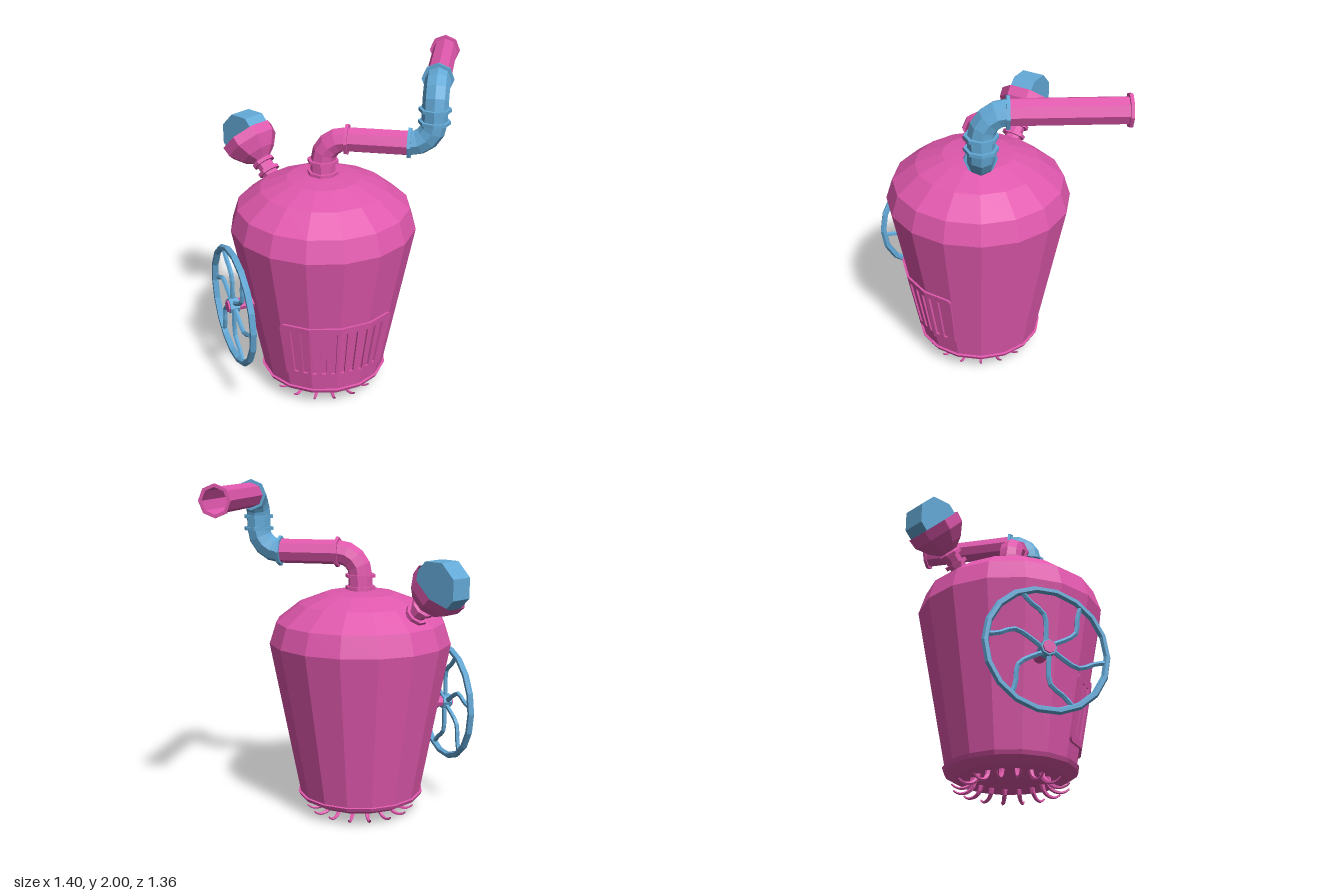
import * as THREE from 'three';

const pink = new THREE.MeshStandardMaterial({ color: 0xe058ad, flatShading: true, side: THREE.DoubleSide });
const blue = new THREE.MeshStandardMaterial({ color: 0x64aad8, flatShading: true, side: THREE.DoubleSide });
const CX = -0.012, CZ = 0.055; // vertical axis of the tank
const V = (x, y, z) => new THREE.Vector3(x, y, z);

function add(parent, name, geometry, material) {
  const mesh = new THREE.Mesh(geometry, material);
  mesh.name = name;
  parent.add(mesh);
  return mesh;
}

const lathe = (points, sides) =>
  new THREE.LatheGeometry(points.map(([r, y]) => new THREE.Vector2(r, y)), sides);

// Octagonal rod between two points
function rod(parent, name, a, b, radius, material, open = false) {
  const dir = b.clone().sub(a);
  const mesh = add(parent, name, new THREE.CylinderGeometry(radius, radius, dir.length(), 8, 1, open), material);
  mesh.position.copy(a).add(b).multiplyScalar(0.5);
  mesh.quaternion.setFromUnitVectors(V(0, 1, 0), dir.normalize());
  return mesh;
}

const wallRadius = (y) => 0.368 + (y - 0.125) * 0.175 / 0.925;

// Sixteen-sided tank
function makeTank(group) {
  const body = add(group, 'tank', lathe([
    [0, 0.075], [0.315, 0.072], [0.372, 0.103], [0.383, 0.125], [0.368, 0.127],
    [0.543, 1.05], [0.503, 1.175], [0.368, 1.28], [0.21, 1.34], [0, 1.36],
  ], 16), pink);
  body.position.set(CX, 0, CZ);
}

// Slotted panel that follows four faces of the tank
function makeVent(group) {
  const vent = new THREE.Group();
  vent.name = 'ventPanel';
  vent.position.set(CX, 0, CZ);
  const y0 = 0.22, y1 = 0.597, step = Math.PI / 8, c = 0.03;
  for (let f = 0; f < 4; f++) {
    const l = f === 0 ? 1 : 0, r = f === 3 ? 1 : 0; // rounded outer corners
    const shape = new THREE.Shape();
    shape.moveTo(0.15 * l, y0);
    shape.lineTo(1 - 0.15 * r, y0);
    if (r) shape.quadraticCurveTo(1, y0, 1, y0 + c);
    shape.lineTo(1, y1 - c * r);
    if (r) shape.quadraticCurveTo(1, y1, 0.85, y1);
    shape.lineTo(0.15 * l, y1);
    if (l) shape.quadraticCurveTo(0, y1, 0, y1 - c);
    shape.lineTo(0, y0 + c * l);
    if (l) shape.quadraticCurveTo(0, y0, 0.15, y0);
    for (let i = 0; i < 10; i++) {
      const u = 0.42 + 0.35 * i - f;
      if (u < 0 || u > 1) continue;
      const slot = new THREE.Path();
      slot.moveTo(u - 0.08, 0.255);
      slot.lineTo(u - 0.08, 0.555);
      slot.lineTo(u + 0.08, 0.555);
      slot.lineTo(u + 0.08, 0.255);
      slot.closePath();
      shape.holes.push(slot);
    }
    const geo = new THREE.ExtrudeGeometry(shape, { depth: 0.014, bevelEnabled: false, curveSegments: 4 });
    const p = geo.attributes.position;
    const a = (f - 1) * step, b = f * step;
    for (let i = 0; i < p.count; i++) {
      const u = p.getX(i), y = p.getY(i), rad = wallRadius(y) + p.getZ(i);
      p.setXYZ(i, rad * THREE.MathUtils.lerp(Math.sin(a), Math.sin(b), u), y,
        rad * THREE.MathUtils.lerp(Math.cos(a), Math.cos(b), u));
    }
    geo.computeVertexNormals();
    add(vent, 'ventFace', geo, pink);
  }
  group.add(vent);
}

// Ring of small tapered hooks under the tank
function makeFeet(group) {
  const path = new THREE.CatmullRomCurve3([
    V(0, 0.09, 0.205), V(0, 0.045, 0.215), V(0, 0.017, 0.245), V(0, 0.012, 0.295), V(0, 0.033, 0.328)]);
  const rings = 8, sides = 5;
  const geo = new THREE.TubeGeometry(path, rings, 0.017, sides);
  const p = geo.attributes.position, v = V(0, 0, 0);
  for (let i = 0; i < p.count; i++) {
    const t = Math.floor(i / (sides + 1)) / rings;
    v.fromBufferAttribute(p, i).lerp(path.getPointAt(t), 0.7 * t);
    p.setXYZ(i, v.x, Math.max(0, v.y), v.z);
  }
  geo.computeVertexNormals();
  for (let i = 0; i < 16; i++) {
    const foot = add(group, 'hookFoot', geo, pink);
    foot.position.set(CX, 0, CZ);
    foot.rotation.y = i * Math.PI / 8;
  }
}

// Outlet pipe with three elbows and flanges
function makePipe(group) {
  const pipe = new THREE.Group();
  pipe.name = 'outletPipe';
  const R = 0.132, r = 0.072, x2 = 0.608, yA = 1.575, yB = 1.91;
  const elbow = (name, mat, pos, ry, rz) => {
    const m = add(pipe, name, new THREE.TorusGeometry(R, r, 8, 4, Math.PI / 2), mat);
    m.position.copy(pos);
    m.rotation.set(0, ry, rz);
  };
  const flange = (at, axis, mat, hollow) => {
    const half = axis.clone().multiplyScalar(0.009);
    rod(pipe, 'flange', at.clone().sub(half), at.clone().add(half), 0.09, mat, hollow);
  };
  const X = V(1, 0, 0), Y = V(0, 1, 0), Z = V(0, 0, 1);
  rod(pipe, 'riser', V(CX, 1.34, CZ), V(CX, yA - R, CZ), r, pink, true);
  elbow('lowerElbow', pink, V(CX + R, yA - R, CZ), 0, Math.PI / 2);
  rod(pipe, 'crossPipe', V(CX + R, yA, CZ), V(x2 - R, yA, CZ), r, pink, true);
  elbow('middleElbow', blue, V(x2 - R, yA + R, CZ), 0, -Math.PI / 2);
  rod(pipe, 'upperRiser', V(x2, yA + R, CZ), V(x2, yB - R, CZ), r, blue, true);
  elbow('upperElbow', blue, V(x2, yB - R, CZ - R), -Math.PI / 2, 0);
  rod(pipe, 'spout', V(x2, yB, CZ - R), V(x2, yB, -0.685), r, pink, true);
  flange(V(CX, 1.37, CZ), Y, pink);
  flange(V(CX, 1.44, CZ), Y, pink);
  flange(V(CX + R + 0.005, yA, CZ), X, pink);
  flange(V(x2 - R, yA, CZ), X, blue);
  flange(V(x2, yA + R, CZ), Y, blue);
  flange(V(x2, yB - R, CZ), Y, blue);
  flange(V(x2, yB, CZ - R), Z, blue);
  // Open mouth: outer band plus a flat ring on each side
  flange(V(x2, yB, -0.681), Z, pink, true);
  for (const z of [-0.672, -0.69]) {
    const ring = add(pipe, 'mouthRing', new THREE.RingGeometry(r, 0.09, 8), pink);
    ring.position.set(x2, yB, z);
  }
  group.add(pipe);
}

// Hand wheel with six curved spokes
function makeWheel(group) {
  const wheel = new THREE.Group();
  wheel.name = 'handWheel';
  wheel.position.set(-0.49, 0.622, 0.367);
  wheel.rotation.y = Math.atan2(-0.835, 0.55);
  add(wheel, 'wheelRim', new THREE.TorusGeometry(0.345, 0.02, 6, 18), blue);
  const polar = (r, deg) => {
    const a = THREE.MathUtils.degToRad(deg);
    return V(r * Math.cos(a), r * Math.sin(a), 0);
  };
  const spoke = new THREE.TubeGeometry(new THREE.CatmullRomCurve3([
    polar(0.03, 0), polar(0.11, -18), polar(0.2, -16), polar(0.28, 0), polar(0.345, 4)]), 8, 0.014, 5);
  for (let i = 0; i < 6; i++) {
    add(wheel, 'wheelSpoke', spoke, blue).rotation.z = THREE.MathUtils.degToRad(50 + 60 * i);
  }
  rod(wheel, 'wheelHub', V(0, 0, -0.028), V(0, 0, 0.028), 0.045, blue);
  rod(wheel, 'wheelShaft', V(0, 0, -0.15), V(0, 0, 0.038), 0.036, pink);
  group.add(wheel);
}

// Octagonal disc held in a tilted cup on the shoulder
function makeGauge(group) {
  const gauge = new THREE.Group();
  gauge.name = 'gauge';
  gauge.position.set(-0.534, 1.435, -0.27);
  gauge.rotation.set(Math.PI / 4, Math.atan2(-0.84, -0.54), 0, 'YXZ');
  add(gauge, 'gaugeDisc', new THREE.CylinderGeometry(0.152, 0.152, 0.14, 8)
    .rotateY(Math.PI / 8).rotateZ(Math.PI / 2), blue);
  add(gauge, 'gaugeCup', lathe([
    [0.05, -0.32], [0.05, -0.262], [0.07, -0.262], [0.07, -0.242], [0.05, -0.242], [0.05, -0.2],
    [0.07, -0.2], [0.07, -0.18], [0.055, -0.17], [0.11, -0.13], [0.165, -0.06], [0.17, 0],
  ], 8).rotateY(Math.PI / 8), pink);
  group.add(gauge);
}

export function createModel() {
  const group = new THREE.Group();
  group.name = 'boiler';
  makeTank(group);
  makeVent(group);
  makeFeet(group);
  makePipe(group);
  makeWheel(group);
  makeGauge(group);
  return group;
}
